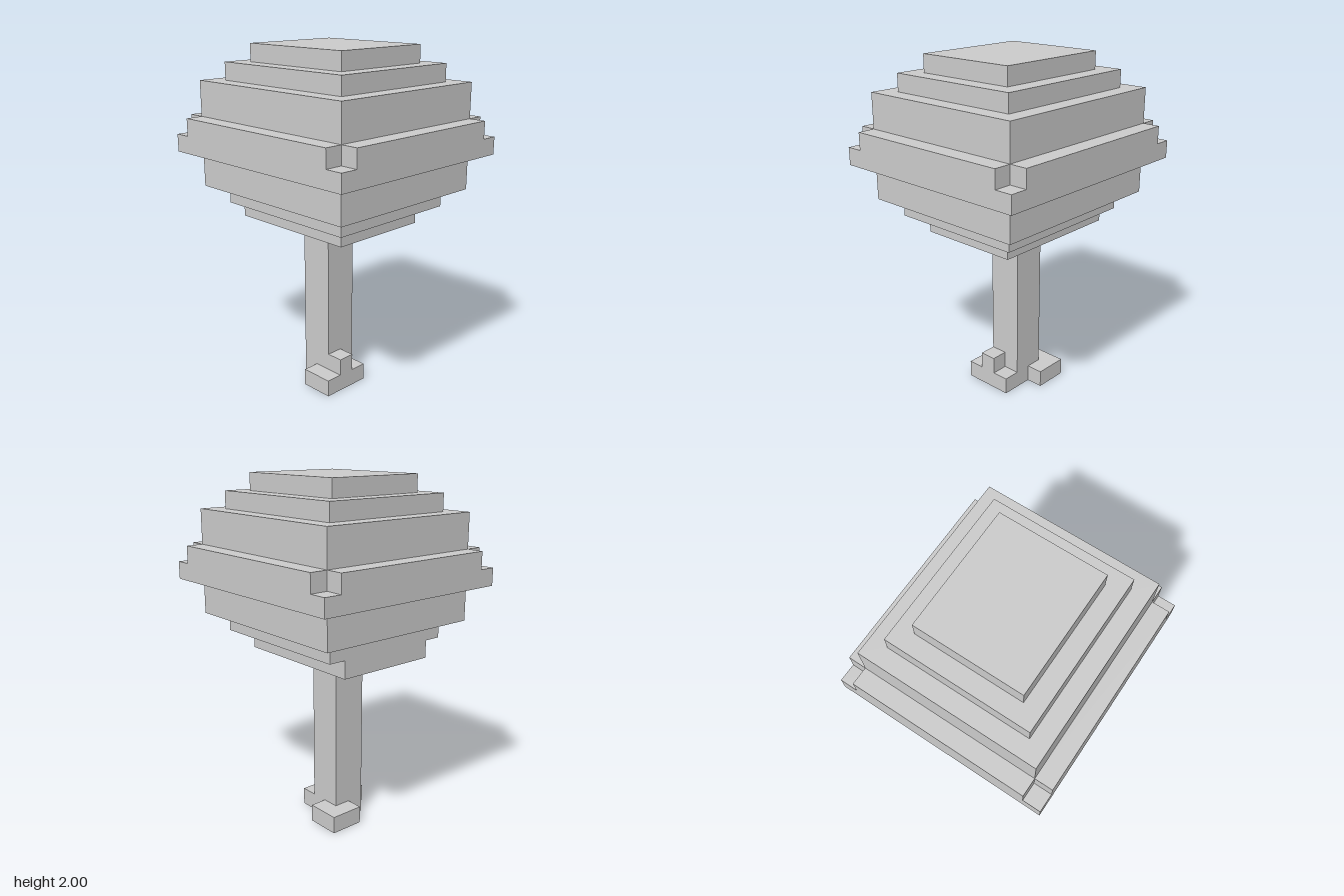
import * as THREE from 'three';

const material = new THREE.MeshStandardMaterial({ color: 0xcccccc, flatShading: true });

// Flat slab with a plan outline of [x, z] corners, between two heights
function slab(name, outline, y0, y1) {
  const shape = new THREE.Shape(outline.map(([x, z]) => new THREE.Vector2(x, -z)));
  const geometry = new THREE.ExtrudeGeometry(shape, { depth: y1 - y0, bevelEnabled: false });
  geometry.rotateX(-Math.PI / 2).translate(0, y0, 0);
  const mesh = new THREE.Mesh(geometry, material);
  mesh.name = name;
  return mesh;
}

// Rectangular plan outline
const rect = (x0, x1, z0, z1) => [[x0, z1], [x1, z1], [x1, z0], [x0, z0]];

export function createModel() {
  const tree = new THREE.Group();
  tree.name = 'blockTree';

  // Roots: stepped footprint that pinwheels around the trunk
  const roots = new THREE.Group();
  roots.name = 'roots';
  roots.add(
    slab('rootBase', [
      [-0.2, 0.15], [0.1, 0.15], [0.1, -0.05], [0.2, -0.05], [0.2, -0.25],
      [0, -0.25], [0, -0.15], [-0.1, -0.15], [-0.1, -0.05], [-0.2, -0.05],
    ], 0, 0.1),
    slab('raisedRoot', rect(-0.1, 0, 0.05, 0.15), 0.1, 0.2),
  );
  tree.add(roots);

  tree.add(slab('trunk', rect(-0.1, 0.1, -0.15, 0.05), 0.1, 1));

  // Canopy: stacked layers as half width, back z, front z, bottom, top
  const canopy = new THREE.Group();
  canopy.name = 'canopy';
  const layers = [
    [0.3, -0.45, 0.35, 1.0, 1.1],
    [0.4, -0.45, 0.45, 1.1, 1.2],
    [0.5, -0.55, 0.55, 1.2, 1.4],
    [0.6, -0.65, 0.65, 1.4, 1.5],
    [0.5, -0.55, 0.55, 1.6, 1.8],
    [0.4, -0.45, 0.45, 1.8, 1.9],
    [0.3, -0.35, 0.35, 1.9, 2.0],
  ];
  for (const [w, z0, z1, y0, y1] of layers) {
    canopy.add(slab('canopyLayer', rect(-w, w, z0, z1), y0, y1));
  }

  // Upper half of the widest layer, with its corners notched out
  canopy.add(slab('notchedCanopyLayer', [
    [-0.5, 0.65], [0.5, 0.65], [0.5, 0.55], [0.6, 0.55], [0.6, -0.55], [0.5, -0.55],
    [0.5, -0.65], [-0.5, -0.65], [-0.5, -0.55], [-0.6, -0.55], [-0.6, 0.55], [-0.5, 0.55],
  ], 1.5, 1.6));
  tree.add(canopy);

  return tree;
}
